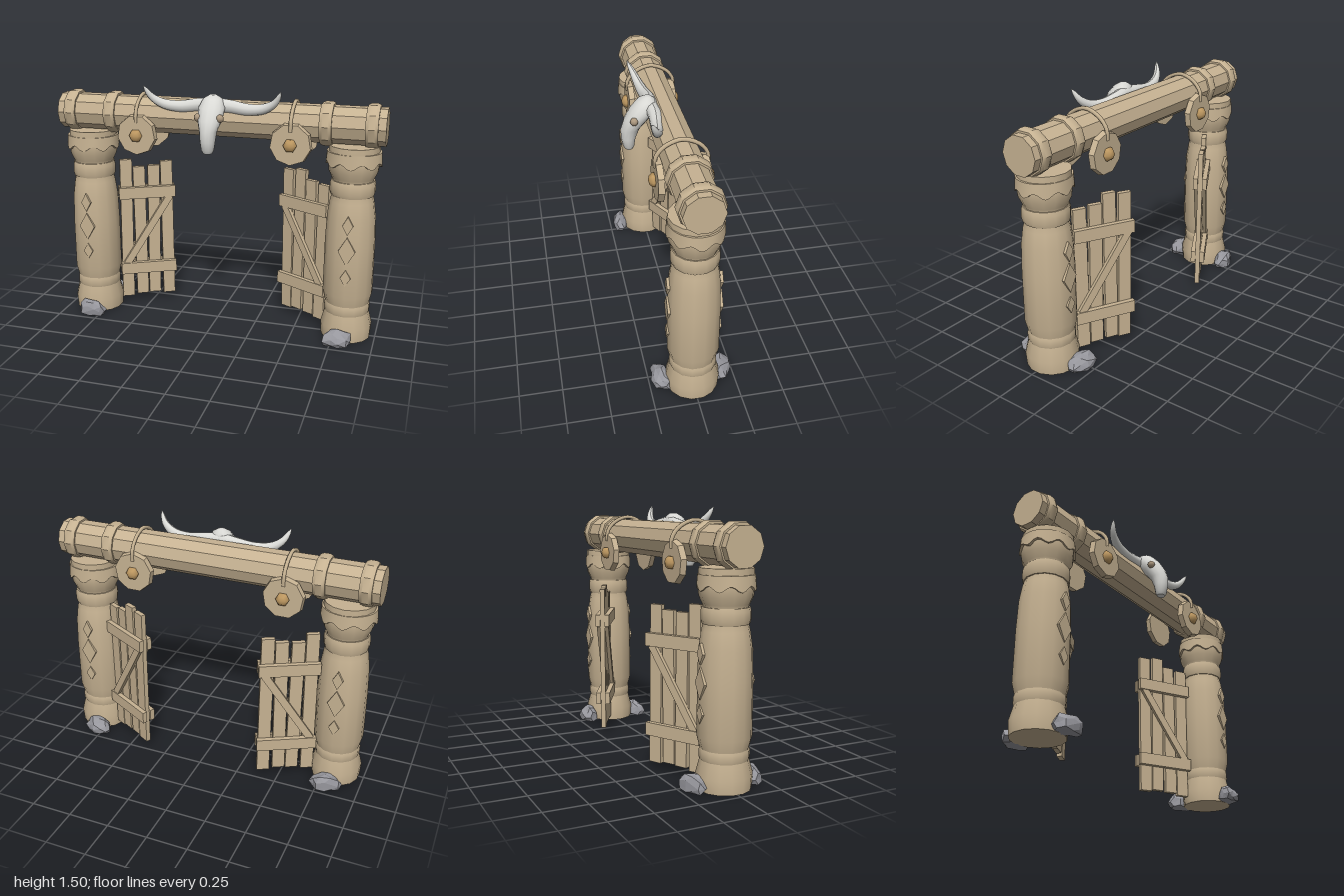
import * as THREE from 'three';
import { toCreasedNormals } from 'three/addons/utils/BufferGeometryUtils.js';

const mat = (name, color) => Object.assign(new THREE.MeshStandardMaterial({ color }), { name });

export function createModel() {
  const root = new THREE.Group();
  root.name = 'ranchGate';
  const wood = mat('wood', 0xc6b292);
  const brass = mat('brass', 0xc09a62);
  const bone = mat('bone', 0xd9d9d5);
  const eyeTan = mat('eyeTan', 0xad9980);
  const stone = mat('stone', 0x97979d);
  stone.flatShading = true;

  const add = (parent, name, geo, material, x = 0, y = 0, z = 0) => {
    const m = new THREE.Mesh(geo, material);
    m.name = name;
    m.position.set(x, y, z);
    parent.add(m);
    return m;
  };
  const crease = (g, a = 0.6) => toCreasedNormals(g, a);
  const lathe = (pts, seg) => crease(new THREE.LatheGeometry(pts.map(p => new THREE.Vector2(...p)), seg));
  const moveVertices = (g, rule) => {
    const p = g.attributes.position, v = new THREE.Vector3();
    for (let i = 0; i < p.count; i++) {
      v.fromBufferAttribute(p, i);
      rule(v, i);
      p.setXYZ(i, v.x, v.y, v.z);
    }
    g.computeVertexNormals();
    return g;
  };

  // Shared post geometry
  const trunk = lathe([[0, 0], [0.15, 0], [0.156, 0.08], [0.135, 0.16], [0.13, 0.2], [0.135, 0.23], [0.15, 0.29],
    [0.149, 0.6], [0.143, 0.77], [0.13, 0.86], [0.12, 0.9], [0.12, 0.98], [0.126, 1.0], [0.145, 1.04],
    [0.15, 1.09], [0.147, 1.19], [0, 1.19]], 14);
  const band = (r, h) => lathe([[r - 0.03, 0], [r - 0.006, 0], [r, h * 0.25], [r, h * 0.75], [r - 0.006, h], [r - 0.03, h]], 14);
  const lowBand = band(0.138, 0.075), highBand = band(0.134, 0.09);

  // Carved collar with a scalloped lower edge
  const collarGeo = moveVertices(new THREE.CylinderGeometry(0.158, 0.163, 0.07, 48), v => {
    if (v.y < 0) v.y -= 0.016 * Math.cos(8 * Math.atan2(v.x, v.z));
    v.z *= 0.95;
  });
  const collar = crease(collarGeo);

  const diamond = (w, h) => {
    const s = new THREE.Shape([[0, -h], [w, 0], [0, h], [-w, 0]].map(p => new THREE.Vector2(...p)));
    return new THREE.ExtrudeGeometry(s, { depth: 0.016, bevelEnabled: false });
  };

  const rockGeo = (seed, w, h, d) => {
    const g = new THREE.IcosahedronGeometry(1, 1);
    return moveVertices(g, v => {
      const k = Math.sin(Math.round(v.x * 50) * 1.7 + Math.round(v.y * 50) * 2.9 + Math.round(v.z * 50) * 4.3 + seed);
      v.multiplyScalar(0.93 + 0.13 * k);
      v.set(v.x * w, Math.max(0, (v.y + 0.45) * h / 1.45), v.z * d);
    });
  };

  // Posts with carvings and foot stones
  for (const s of [-1, 1]) {
    const post = new THREE.Group();
    post.name = s > 0 ? 'leftPost' : 'rightPost';
    post.position.x = s * 0.82;
    root.add(post);
    add(post, 'trunk', trunk, wood);
    add(post, 'lowerBand', lowBand, wood, 0, 0.155, 0);
    add(post, 'upperBand', highBand, wood, 0, 0.895, 0);
    add(post, 'carvedCollar', collar, wood, 0, 1.12, 0);
    for (const f of [1, -1]) {
      for (const [y, w, h] of [[0.42, 0.031, 0.052], [0.585, 0.05, 0.088], [0.742, 0.031, 0.058]]) {
        const d = add(post, 'diamondCarving', diamond(w, h), wood, 0, y, f * 0.139);
        if (f < 0) d.rotation.y = Math.PI;
      }
      const rx = f > 0 ? (s > 0 ? -0.03 : 0.02) : (s > 0 ? -0.045 : 0.02);
      add(post, 'footStone', rockGeo(s * 2 + f * 5, 0.1, 0.1, 0.062), stone, rx, 0, f * 0.178).rotation.y = s * f * 0.2;
    }
  }

  // Cross beam with wrapped rings
  const beam = add(root, 'crossBeam', crease(new THREE.CylinderGeometry(0.112, 0.112, 2, 10)), wood, 0, 1.302, 0);
  beam.rotation.z = Math.PI / 2;
  const ringGeo = lathe([[0.1, -0.036], [0.122, -0.036], [0.13, -0.018], [0.13, 0.018], [0.122, 0.036], [0.1, 0.036]], 10);
  for (const x of [-0.92, -0.66, 0.66, 0.92]) {
    add(root, 'beamRing', ringGeo, wood, x, 1.304, 0).rotation.z = Math.PI / 2;
  }

  // Hanging shields, front and back, joined by a strap over the beam
  const strapPath = new THREE.CatmullRomCurve3([[1.27, 0.145], [1.33, 0.142], [1.39, 0.095], [1.425, 0],
    [1.39, -0.095], [1.33, -0.142], [1.27, -0.145]].map(([y, z]) => new THREE.Vector3(0, y, z)));
  const strapGeo = new THREE.TubeGeometry(strapPath, 24, 0.012, 6);
  const shieldGeo = crease(new THREE.CylinderGeometry(0.12, 0.126, 0.035, 9));
  const knobGeo = new THREE.SphereGeometry(0.042, 6, 5);
  for (const s of [-1, 1]) {
    add(root, 'strap', strapGeo, wood, s * 0.47, 0, 0);
    for (const f of [1, -1]) {
      add(root, 'shield', shieldGeo, wood, s * 0.47, 1.195, f * 0.13).rotation.x = f * Math.PI / 2;
      const knob = add(root, 'shieldKnob', knobGeo, brass, s * 0.47, 1.193, f * 0.15);
      knob.rotation.x = Math.PI / 2;
      knob.scale.y = 0.8;
    }
  }

  // Plank gates swung backwards from the posts
  const tops = { '-1': [0.98, 0.93, 0.935, 0.96], '1': [0.915, 0.925, 0.98, 0.965] };
  const bottoms = [0.04, 0.052, 0.056, 0.045];
  for (const s of [-1, 1]) {
    const gate = new THREE.Group();
    gate.name = s > 0 ? 'leftGate' : 'rightGate';
    gate.position.set(s * 0.68, 0, -0.06);
    gate.rotation.y = -s * 0.49;
    root.add(gate);
    tops[s].forEach((top, i) => {
      const h = top - bottoms[i];
      const p = add(gate, 'plank', new THREE.BoxGeometry(0.077, h, 0.03), wood,
        -s * (0.04 + i * 0.089), bottoms[i] + h / 2, 0);
      p.rotation.z = (i % 2 ? 1 : -1) * 0.008;
    });
    for (const f of [1, -1]) {
      for (const y of [0.762, 0.245]) {
        add(gate, 'rail', new THREE.BoxGeometry(0.365, 0.075, 0.03), wood, -s * 0.175, y, f * 0.029);
      }
      const brace = add(gate, 'brace', new THREE.BoxGeometry(0.045, 0.54, 0.024), wood, -s * 0.175, 0.503, f * 0.026);
      brace.rotation.z = s * Math.atan2(0.29, 0.45);
    }
  }

  // Horned skull: rows of height, centre z, half width, half depth
  const skull = new THREE.Group();
  skull.name = 'skull';
  root.add(skull);
  const rows = [[1.455, 0.1, 0.02, 0.02], [1.435, 0.105, 0.055, 0.05], [1.385, 0.125, 0.078, 0.075],
    [1.32, 0.168, 0.073, 0.07], [1.26, 0.203, 0.052, 0.055], [1.2, 0.215, 0.045, 0.043],
    [1.15, 0.214, 0.038, 0.034], [1.13, 0.213, 0.027, 0.024]];
  const head = moveVertices(new THREE.CylinderGeometry(1, 1, 1, 14, rows.length - 1), v => {
    const [y, cz, w, d] = rows[Math.round((0.5 - v.y) * (rows.length - 1))];
    v.set(v.x * w, y, v.z * d + cz);
  });
  add(skull, 'skullHead', crease(head, 0.9), bone);

  for (const s of [-1, 1]) {
    // Tapered curved horn
    const path = new THREE.CatmullRomCurve3([[0, 1.395, 0.085], [0.1, 1.385, 0.075], [0.21, 1.373, 0.085],
      [0.31, 1.388, 0.1], [0.375, 1.43, 0.12], [0.412, 1.495, 0.15]].map(([x, y, z]) => new THREE.Vector3(s * x, y, z)));
    const seg = 20, sides = 10;
    const horn = moveVertices(new THREE.TubeGeometry(path, seg, 1, sides), (v, i) => {
      const t = Math.floor(i / (sides + 1)) / seg;
      const c = path.getPointAt(t);
      v.sub(c).multiplyScalar(0.002 + 0.047 * Math.pow(1 - t, 0.6) * (0.85 + 0.35 * t)).add(c);
    });
    add(skull, 'horn', horn, bone);
    add(skull, 'eye', new THREE.SphereGeometry(0.024, 8, 6), eyeTan, s * 0.066, 1.333, 0.188);
  }
  return root;
}
